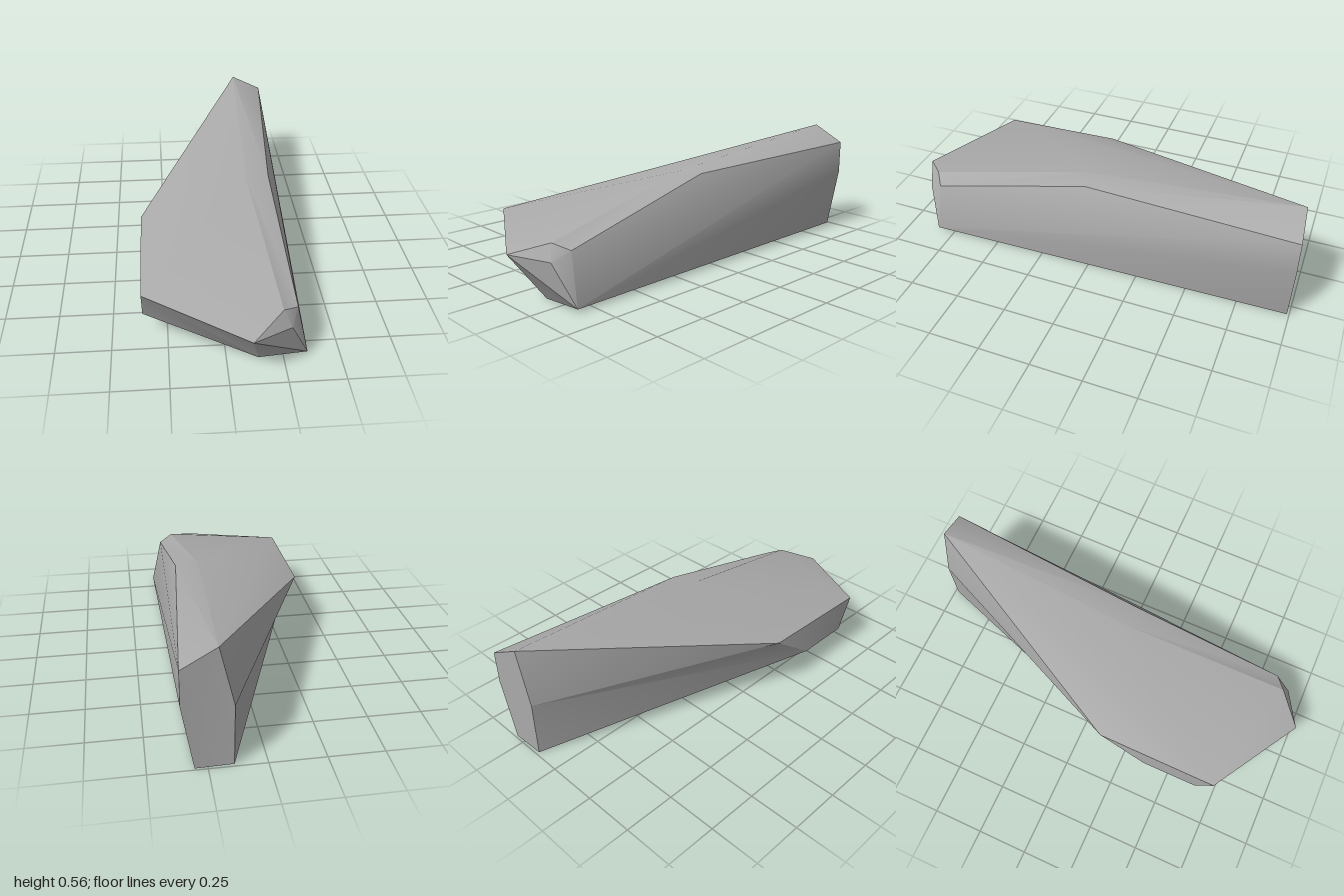
import * as THREE from 'three';
import { toCreasedNormals } from 'three/addons/utils/BufferGeometryUtils.js';

// Corners of the faceted boulder
const P = {
  peak: [0.2, 0.557, -0.985], backTop: [0.357, 0.475, -1], backRight: [0.357, 0.31, -1],
  backLowRight: [0.305, 0, -0.99], backLowLeft: [0.14, 0, -0.985], backLeft: [0.137, 0.285, -0.985],
  ridge: [0.277, 0.448, 0.03], crown: [0.165, 0.448, 0.05],
  leftFront: [-0.36, 0.28, 0.73], leftBack: [-0.36, 0.295, 0.13],
  lowFront: [-0.36, 0.117, 0.65], lowBack: [-0.36, 0.117, 0.37],
  nose: [0.095, 0.227, 1], brow: [0.235, 0.283, 0.87], chip: [0.27, 0.212, 0.9],
  shoulder: [0.305, 0.255, 0.82], toe: [0.357, 0.015, 0.835], keel: [0.14, 0, 0.84],
};

// Each face is a loop of corners, cut into a fan from its first corner
const faces = [
  // top
  'peak leftBack leftFront crown', 'peak crown ridge', 'peak ridge backTop',
  'leftFront nose brow', 'leftFront brow crown', 'crown brow shoulder', 'crown shoulder ridge',
  // chipped nose
  'nose chip brow', 'brow chip shoulder', 'chip toe shoulder', 'nose toe chip',
  // front and left
  'leftFront lowFront keel nose', 'nose keel toe', 'leftBack leftFront lowFront lowBack',
  'peak backLeft leftBack', 'backLeft lowBack leftBack', 'backLeft backLowLeft lowBack',
  // right
  'ridge shoulder backTop', 'shoulder toe backTop', 'toe backRight backTop', 'toe backLowRight backRight',
  // underside
  'keel toe backLowRight backLowLeft', 'backLowLeft lowBack lowFront keel',
  // back
  'peak backTop backRight backLowRight backLowLeft backLeft',
];

function boulderGeometry() {
  const centre = new THREE.Vector3(0.08, 0.23, 0);
  const positions = [];
  for (const face of faces) {
    const loop = face.split(' ').map((n) => new THREE.Vector3(...P[n]));
    for (let i = 1; i < loop.length - 1; i++) {
      const tri = [loop[0], loop[i], loop[i + 1]];
      const t = new THREE.Triangle(...tri);
      const out = t.getMidpoint(new THREE.Vector3()).sub(centre);
      // turn every triangle outward
      if (t.getNormal(new THREE.Vector3()).dot(out) < 0) tri.reverse();
      tri.forEach((v) => positions.push(v.x, v.y, v.z));
    }
  }
  const geo = new THREE.BufferGeometry();
  geo.setAttribute('position', new THREE.Float32BufferAttribute(positions, 3));
  return toCreasedNormals(geo, 0.52);
}

export function createModel() {
  const stone = new THREE.MeshStandardMaterial({ color: 0xaaaaaa });
  stone.name = 'stone grey';
  const boulder = new THREE.Mesh(boulderGeometry(), stone);
  boulder.name = 'boulder';
  const group = new THREE.Group();
  group.name = 'rock';
  group.add(boulder);
  return group;
}
